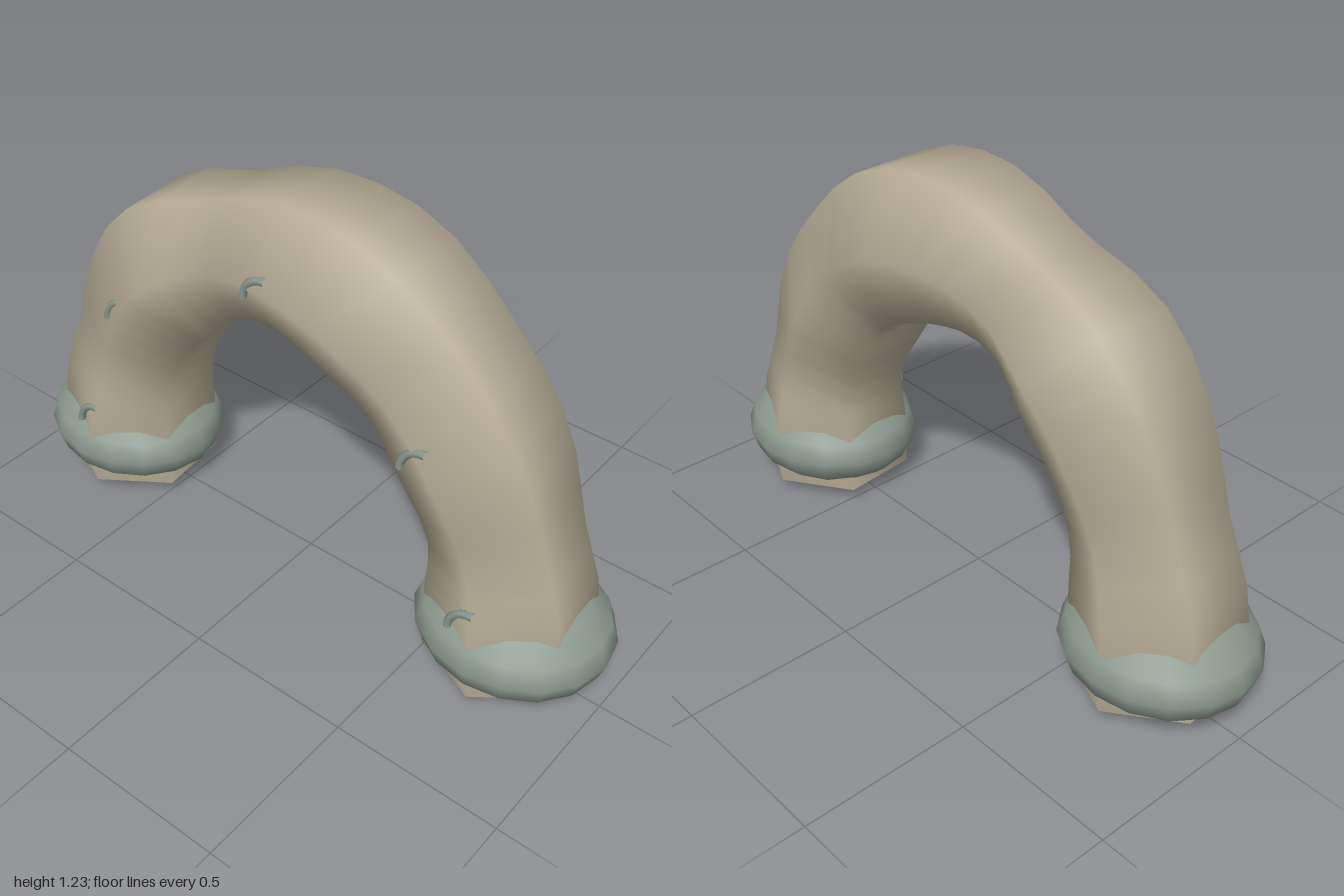
import * as THREE from 'three';

const skin = new THREE.MeshStandardMaterial({ color: 0xb5ab94, side: THREE.DoubleSide });
const pad = new THREE.MeshStandardMaterial({ color: 0x8b998e });
const SIDES = 6, RINGS = 30;

// Centreline of the arch as [x, y, radius]
const spine = new THREE.CatmullRomCurve3([
  [-0.7, 0.05, 0.235], [-0.695, 0.28, 0.235], [-0.645, 0.49, 0.21], [-0.555, 0.7, 0.23],
  [-0.42, 0.87, 0.24], [-0.22, 0.98, 0.2], [0, 1.035, 0.232], [0.22, 0.995, 0.25],
  [0.42, 0.86, 0.23], [0.57, 0.66, 0.232], [0.66, 0.44, 0.208], [0.695, 0.25, 0.235], [0.7, 0.05, 0.235],
].map((p) => new THREE.Vector3(...p)));

// Smooth-shaded six-sided tube of varying radius with a slight twist
function archGeometry() {
  const pos = [], index = [];
  for (let i = 0; i <= RINGS; i++) {
    const t = i / RINGS;
    const c = spine.getPoint(t);
    const d = spine.getTangent(t);
    const len = Math.hypot(d.x, d.y);
    const nx = -d.y / len, ny = d.x / len;
    for (let j = 0; j < SIDES; j++) {
      const a = ((j + 0.5) / SIDES) * Math.PI * 2 + 0.1 * (1 - 2 * t);
      const out = Math.cos(a) * c.z;
      pos.push(c.x + nx * out, c.y + ny * out, Math.sin(a) * c.z);
      if (i < RINGS) {
        const k = (j + 1) % SIDES;
        const p = i * SIDES + j, q = i * SIDES + k;
        index.push(p, q, p + SIDES, q, q + SIDES, p + SIDES);
      }
    }
  }
  const g = new THREE.BufferGeometry();
  g.setAttribute('position', new THREE.Float32BufferAttribute(pos, 3));
  g.setIndex(index);
  g.computeVertexNormals();
  return g;
}

export function createModel() {
  const group = new THREE.Group();
  const add = (name, geometry, material, x = 0, y = 0, z = 0) => {
    const m = new THREE.Mesh(geometry, material);
    m.name = name;
    m.position.set(x, y, z);
    group.add(m);
    return m;
  };

  add('archBody', archGeometry(), skin);

  // Squashed ball under each end
  const ball = new THREE.SphereGeometry(1, 16, 8);
  for (const s of [-1, 1]) {
    add(s < 0 ? 'rightFootPad' : 'leftFootPad', ball, pad, s * 0.715, 0.16, 0).scale.set(0.285, 0.155, 0.26);
  }

  // Small curved ridges half sunk in the front face
  const ridge = new THREE.TorusGeometry(0.075, 0.012, 6, 8, Math.PI / 2);
  [[-0.655, 0.26, 0.222], [-0.5, 0.7, 0.212], [0.03, 0.995, 0.22], [0.54, 0.705, 0.222], [0.715, 0.26, 0.222]]
    .forEach(([x, y, z], i) => {
      add('ridge' + (i + 1), ridge, pad, x, y, z).rotation.z = Math.PI / 2;
    });

  return group;
}
